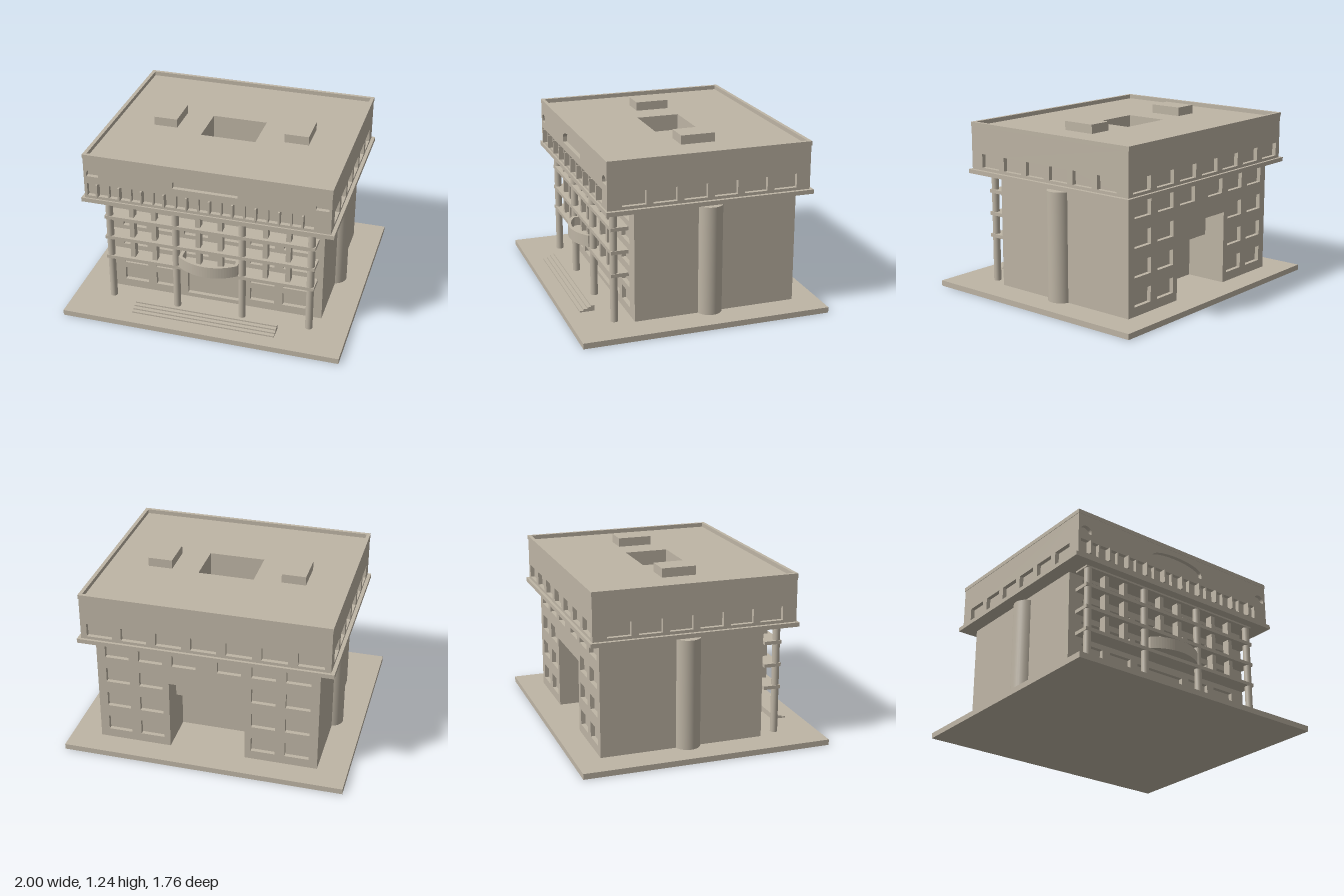
import * as THREE from 'three';

export function createModel() {
  const model = new THREE.Group();
  model.name = 'building';
  const stone = new THREE.MeshStandardMaterial({ color: 0xbeb5a5 });
  stone.name = 'warm stone';

  const add = (name, geometry) => {
    const mesh = new THREE.Mesh(geometry, stone);
    mesh.name = name;
    model.add(mesh);
    return mesh;
  };
  // Box given by its limits on each axis
  const box = (name, x0, x1, y0, y1, z0, z1) =>
    add(name, new THREE.BoxGeometry(x1 - x0, y1 - y0, z1 - z0)
      .translate((x0 + x1) / 2, (y0 + y1) / 2, (z0 + z1) / 2));
  const trace = (target, pts) => {
    pts.forEach(([x, y], i) => (i ? target.lineTo(x, y) : target.moveTo(x, y)));
    target.closePath();
    return target;
  };
  const rectPts = (x0, x1, y0, y1) => [[x0, y0], [x1, y0], [x1, y1], [x0, y1]];
  const rectHole = (...r) => trace(new THREE.Path(), rectPts(...r));
  // Opening with a flat sill, short jambs and an elliptical head
  const archHole = (cx, half, y0, spring, top) => {
    const p = new THREE.Path();
    p.moveTo(cx - half, y0);
    p.lineTo(cx + half, y0);
    p.lineTo(cx + half, spring);
    p.absellipse(cx, spring, half, top - spring, 0, Math.PI, false);
    p.lineTo(cx - half, y0);
    return p;
  };
  // Wall skin with openings; its outer face lies at `face` in direction `turn`
  const DEPTH = 0.03;
  const wall = (name, pts, holes, face, turn) => {
    const shape = trace(new THREE.Shape(), pts);
    shape.holes.push(...holes);
    const geo = new THREE.ExtrudeGeometry(shape, { depth: DEPTH, bevelEnabled: false, curveSegments: 20 });
    return add(name, geo.translate(0, 0, face - DEPTH).rotateY(turn));
  };
  // Horizontal slab with a rectangular hole, limits in x and z
  const ring = (name, outer, inner, y0, y1) => {
    const flip = ([x0, x1, z0, z1]) => rectPts(x0, x1, -z1, -z0);
    const shape = trace(new THREE.Shape(), flip(outer));
    shape.holes.push(trace(new THREE.Path(), flip(inner)));
    const geo = new THREE.ExtrudeGeometry(shape, { depth: y1 - y0, bevelEnabled: false });
    return add(name, geo.rotateX(-Math.PI / 2).translate(0, y0, 0));
  };

  // Ground slab and entrance steps
  box('groundSlab', -1, 1, 0, 0.04, -0.88, 0.88);
  for (let i = 0; i < 4; i++) {
    box('entranceStep', -0.52, 0.52, 0.03, 0.05 + i * 0.01, 0.665, 0.77 - i * 0.027);
  }

  // Lower storeys: solid core with a stepped recess at the back
  const W = 0.787;
  box('lowerCore', -W, W, 0.04, 0.85, -0.4, 0.43);
  for (const s of [-1, 1]) {
    box('backWing', Math.min(s * 0.27, s * W), Math.max(s * 0.27, s * W), 0.04, 0.85, -0.67, -0.4);
  }
  box('backBridge', -0.27, 0.27, 0.56, 0.85, -0.67, -0.4);
  box('backLintel', -0.27, 0.27, 0.37, 0.56, -0.54, -0.4);

  // Front wall with windows and doorway
  const frontHoles = [rectHole(-0.2, 0.2, 0.07, 0.33)];
  [0.1, 0.245, 0.405, 0.562, 0.72].forEach((y, row) => {
    for (const cx of [0.133, 0.352, 0.59]) {
      if (row < 2 && cx < 0.3) continue;
      for (const s of [-1, 1]) frontHoles.push(rectHole(s * cx - 0.088, s * cx + 0.088, y, y + 0.1));
    }
  });
  wall('frontWall', rectPts(-W, W, 0.04, 0.85), frontHoles, 0.46, 0);

  // Back wall around the recess
  const backHoles = [];
  [0.105, 0.305, 0.505, 0.705].forEach((y, row) => {
    for (const cx of [0.16, 0.4, 0.64]) {
      if (row < 3 && cx < 0.3) continue;
      for (const s of [-1, 1]) backHoles.push(rectHole(s * cx - 0.085, s * cx + 0.085, y, y + 0.11));
    }
  });
  wall('backWall', [[-W, 0.04], [-0.27, 0.04], [-0.27, 0.56], [0.27, 0.56],
    [0.27, 0.04], [W, 0.04], [W, 0.85], [-W, 0.85]], backHoles, 0.7, Math.PI);

  // Round towers on both sides
  for (const s of [-1, 1]) {
    add('sideTower', new THREE.CylinderGeometry(0.09, 0.09, 0.775, 32).translate(s * 0.765, 0.4275, -0.08));
  }

  // Cornice below the top storey
  box('cornice', -0.89, 0.89, 0.845, 0.875, -0.785, 0.677);

  // Top storey: core with light well, wall skins, parapet
  const U = 0.865, F = 0.665, B = 0.765, Y0 = 0.875, Y1 = 1.18;
  ring('topCore', [-U + DEPTH, U - DEPTH, -B + DEPTH, F - DEPTH], [-0.2, 0.195, -0.2, 0.11], Y0, Y1);
  const topFront = [archHole(0, 0.228, 1.045, 1.08, 1.14)];
  for (const s of [-1, 1]) topFront.push(archHole(s * 0.802, 0.044, 1.045, 1.06, 1.1));
  for (let i = 0; i < 20; i++) {
    const x = -0.845 + i * 0.0803;
    topFront.push(rectHole(x, x + 0.068, 0.895, 0.992));
    // Narrow fin after every second window
    if (i % 2 === 0) box('windowFin', x + 0.068, x + 0.0803, 0.895, 0.992, 0.64, 0.684);
  }
  wall('topFrontWall', rectPts(-U, U, Y0, Y1), topFront, F, 0);
  const topBack = [];
  for (let i = -3; i <= 3; i++) topBack.push(rectHole(i * 0.244 - 0.09, i * 0.244 + 0.09, 0.895, 0.99));
  wall('topBackWall', rectPts(-U, U, Y0, Y1), topBack, B, Math.PI);
  for (const s of [-1, 1]) {
    const holes = [];
    for (let i = 0; i < 6; i++) {
      const z = -s * (0.4825 - i * 0.2135);
      holes.push(rectHole(z - 0.082, z + 0.082, 0.895, 0.992));
    }
    const ends = [-s * (F - DEPTH), s * (B - DEPTH)].sort((a, b) => a - b);
    wall('topSideWall', rectPts(...ends, Y0, Y1), holes, U, s * Math.PI / 2);
  }
  ring('parapet', [-U - 0.003, U + 0.003, -B - 0.005, F + 0.002], [-0.842, 0.842, -0.745, 0.642], Y1, 1.21);

  // Roof boxes
  box('roofBox', -0.565, -0.395, 1.17, 1.243, -0.19, 0.053);
  box('roofBox', 0.39, 0.562, 1.17, 1.243, -0.19, 0.053);

  // Front gallery: columns, beams and posts
  const columns = [-0.725, -0.24, 0.24, 0.725];
  for (const x of columns) {
    add('frontColumn', new THREE.CylinderGeometry(0.026, 0.026, 0.81, 24).translate(x, 0.445, 0.586));
  }
  for (const y of [0.365, 0.527, 0.69, 0.832]) {
    box('galleryBeam', -0.755, 0.755, y, y + 0.025, 0.49, 0.612);
  }
  for (let bay = 0; bay < 3; bay++) {
    for (const t of [1 / 3, 2 / 3]) {
      const x = THREE.MathUtils.lerp(columns[bay], columns[bay + 1], t);
      box('galleryPost', x - 0.017, x + 0.017, 0.38, 0.845, 0.53, 0.585);
    }
  }

  // Curved balcony over the entrance: floor and rounded parapet
  const bowOutline = (half, r, cz, back) => {
    const a = Math.asin(half / r), pts = [[half, -back]];
    for (let i = 0; i <= 24; i++) {
      const t = a - (2 * a * i) / 24;
      pts.push([r * Math.sin(t), -(cz + r * Math.cos(t))]);
    }
    pts.push([-half, -back]);
    return pts;
  };
  const bow = (name, pts, height) => add(name,
    new THREE.ExtrudeGeometry(trace(new THREE.Shape(), pts), { depth: height, bevelEnabled: false })
      .rotateX(-Math.PI / 2).translate(0, 0.39, 0));
  const outer = bowOutline(0.213, 0.33, 0.363, 0.508);
  const inner = bowOutline(0.19, 0.307, 0.363, 0.508);
  bow('balconyFloor', outer, 0.02);
  bow('balconyParapet', [...outer, ...inner.reverse()], 0.085);

  return model;
}
